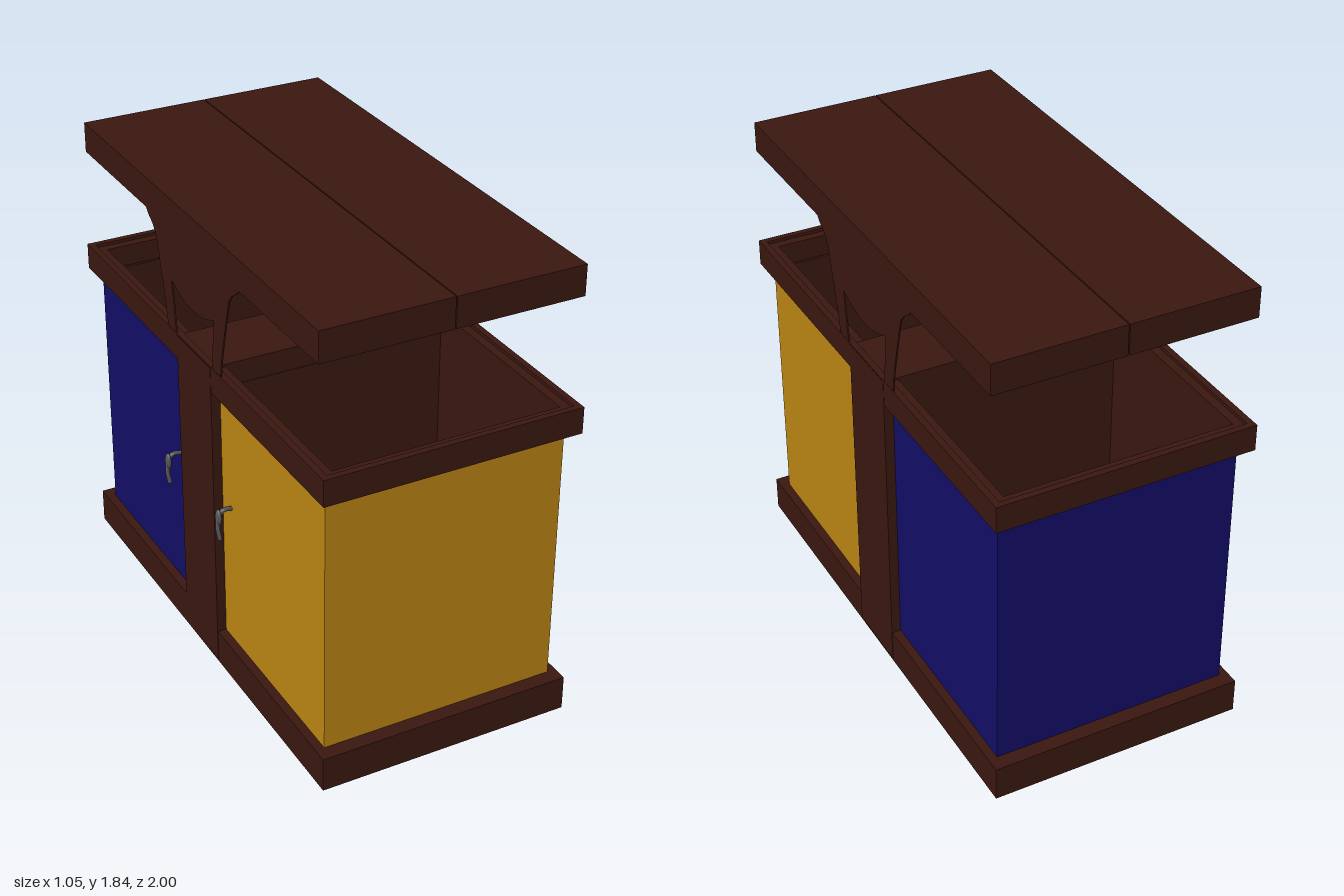
import * as THREE from 'three';

const material = (color) => new THREE.MeshStandardMaterial({ color });

export function createModel() {
  const model = new THREE.Group();
  const wood = material(0x3a1710);
  const yellow = material(0xb98413);
  const blue = material(0x130d66);
  const metal = material(0x555558);
  const CX = 0.012; // centre line of the cabinet

  const add = (name, geometry, mat, parent = model) => {
    const mesh = new THREE.Mesh(geometry, mat);
    mesh.name = name;
    parent.add(mesh);
    return mesh;
  };

  // Box given by its limits
  const box = (name, mat, x0, x1, y0, y1, z0, z1) => {
    const mesh = add(name, new THREE.BoxGeometry(x1 - x0, y1 - y0, z1 - z0), mat);
    mesh.position.set((x0 + x1) / 2, (y0 + y1) / 2, (z0 + z1) / 2);
    return mesh;
  };

  // Upright rectangular frame, centred on z = zc, open at top and bottom
  const frame = (name, mat, halfX, halfZ, wall, y0, y1, zc = 0) => {
    const rect = (P, a, b) => new P([[-a, -b], [a, -b], [a, b], [-a, b]].map(([x, y]) => new THREE.Vector2(x, y)));
    const shape = rect(THREE.Shape, halfX, halfZ);
    shape.holes.push(rect(THREE.Path, halfX - wall, halfZ - wall));
    const geometry = new THREE.ExtrudeGeometry(shape, { depth: y1 - y0, bevelEnabled: false });
    geometry.rotateX(-Math.PI / 2);
    const mesh = add(name, geometry, mat);
    mesh.position.set(CX, y0, zc);
    return mesh;
  };

  // Plinth and the central post dividing the two bins
  box('base', wood, CX - 0.508, CX + 0.508, 0, 0.14, -1, 1);
  box('centralPost', wood, CX - 0.51, CX + 0.51, 0.01, 1.3, -0.145, 0.14);

  // Open bins: coloured outside, wooden lining inside
  for (const [side, mat, zc] of [['front', yellow, 0.53], ['back', blue, -0.53]]) {
    frame(side + 'BinPanels', mat, 0.473, 0.412, 0.012, 0.14, 1.2, zc);
    frame(side + 'BinLining', wood, 0.461, 0.4, 0.012, 0.14, 1.21, zc);
  }

  // Stepped rim around the open top
  frame('rim', wood, 0.509, 1, 0.025, 1.2, 1.305);
  frame('rimInnerStep', wood, 0.484, 0.975, 0.035, 1.2, 1.292);

  // Thin arched side plates carrying the roof
  const outer = [[0.22, 1.29], [0.24, 1.4], [0.29, 1.59], [0.305, 1.64], [0.33, 1.672], [0.365, 1.695], [0.39, 1.72]];
  const inner = [[0, 1.465], [0.05, 1.468], [0.1, 1.477], [0.178, 1.508], [0.15, 1.29]];
  const half = [...inner, ...outer];
  const mirrored = half.slice(1).reverse().map(([z, y]) => [-z, y]);
  const plate = new THREE.Shape([...half, ...mirrored].map(([z, y]) => new THREE.Vector2(z, y)));
  for (const [name, x] of [['leftRoofSupport', CX + 0.502], ['rightRoofSupport', CX - 0.508]]) {
    const geometry = new THREE.ExtrudeGeometry(plate, { depth: 0.006, bevelEnabled: false });
    geometry.rotateY(Math.PI / 2);
    add(name, geometry, wood).position.x = x;
  }

  // Flat roof in two halves with a fine seam
  box('rightRoofBoard', wood, CX - 0.508, CX - 0.002, 1.717, 1.837, -0.96, 0.96);
  box('leftRoofBoard', wood, CX + 0.002, CX + 0.508, 1.717, 1.837, -0.96, 0.96);

  // Curved door handles on the right side, next to the post
  const curve = new THREE.CatmullRomCurve3([
    [-0.458, 0.735, 0], [-0.495, 0.738, 0], [-0.513, 0.715, 0],
    [-0.52, 0.67, 0.004], [-0.515, 0.625, 0.01],
  ].map((p) => new THREE.Vector3(...p)));
  for (const [name, z] of [['frontDoorHandle', 0.212], ['backDoorHandle', -0.235]]) {
    const handle = new THREE.Group();
    handle.name = name;
    handle.position.z = z;
    add('grip', new THREE.TubeGeometry(curve, 16, 0.009, 8), metal, handle);
    const knob = add('knob', new THREE.SphereGeometry(1, 12, 8), metal, handle);
    knob.scale.set(0.011, 0.035, 0.019);
    knob.position.set(-0.514, 0.71, 0);
    const tip = add('tip', new THREE.SphereGeometry(0.009, 8, 6), metal, handle);
    tip.position.set(-0.515, 0.625, 0.01);
    model.add(handle);
  }

  return model;
}
